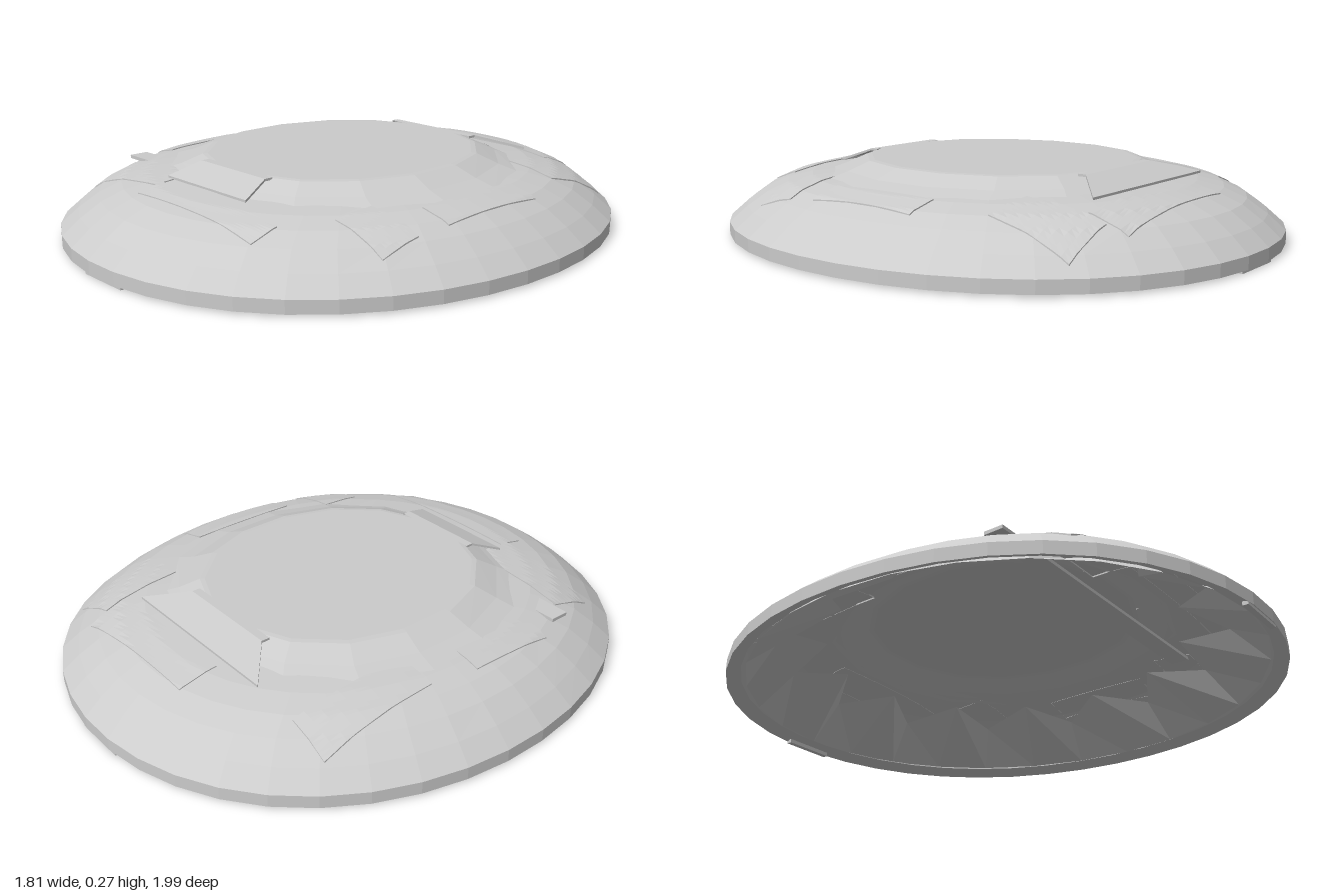
import * as THREE from 'three';

// dome profile from rim to crown: [x radius, z radius, height]
const DOME = [
  [0.907, 1.0, 0.008], [0.907, 1.0, 0.052], [0.845, 0.94, 0.106], [0.775, 0.87, 0.156],
  [0.71, 0.79, 0.189], [0.63, 0.70, 0.209], [0.55, 0.60, 0.219],
];
const material = new THREE.MeshStandardMaterial({
  color: 0xcccccc, flatShading: true, side: THREE.DoubleSide,
});

// the outline is slightly fuller than an ellipse on the diagonals
const fullness = (a) => 1 + 0.015 * Math.sin(2 * a) ** 2;

// mesh over a grid of points given by at(row, column)
function gridMesh(name, rows, cols, at) {
  const pos = [], index = [];
  for (let i = 0; i <= rows; i++)
    for (let j = 0; j <= cols; j++) pos.push(...at(i, j));
  for (let i = 0; i < rows; i++)
    for (let j = 0; j < cols; j++) {
      const a = i * (cols + 1) + j, b = a + cols + 1;
      index.push(a, b, a + 1, b, b + 1, a + 1);
    }
  const geo = new THREE.BufferGeometry();
  geo.setAttribute('position', new THREE.Float32BufferAttribute(pos, 3));
  geo.setIndex(index);
  geo.computeVertexNormals();
  const mesh = new THREE.Mesh(geo, material);
  mesh.name = name;
  return mesh;
}

// stacked rounded rings
function rings(name, profile, sides) {
  return gridMesh(name, profile.length - 1, sides, (i, j) => {
    const a = ((j + 0.5) / sides) * Math.PI * 2, [rx, rz, y] = profile[i];
    return [Math.cos(a) * rx * fullness(a), y, Math.sin(a) * rz * fullness(a)];
  });
}

// height of the dome above a ground point
function domeHeight(x, z) {
  const f = fullness(Math.atan2(z, x * 1.1));
  for (let i = DOME.length - 1; i > 1; i--) {
    const [ax, az, ay] = DOME[i], [bx, bz, by] = DOME[i - 1];
    const ra = Math.hypot(x / ax, z / az) / f, rb = Math.hypot(x / bx, z / bz) / f;
    if (ra <= 1) return ay;
    if (rb <= 1) return THREE.MathUtils.lerp(ay, by, (ra - 1) / (ra - rb));
  }
  return DOME[1][2];
}

// thin rectangular plate lying on the dome, with its border turned down
function plate(x0, x1, z0, z1) {
  const n = 10;
  return gridMesh('hullPlate', n + 2, n + 2, (i, j) => {
    const u = THREE.MathUtils.clamp(i - 1, 0, n) / n;
    const v = THREE.MathUtils.clamp(j - 1, 0, n) / n;
    const border = i === 0 || j === 0 || i === n + 2 || j === n + 2;
    const x = THREE.MathUtils.lerp(x0, x1, v), z = THREE.MathUtils.lerp(z0, z1, u);
    return [x, domeHeight(x, z) + (border ? -0.001 : 0.004), z];
  });
}

// sloping block against the plateau: low outer edge, high inner edge
function ramp(name, halfIn, halfOut, rIn, rOut, angle) {
  const rows = [[halfOut, rOut, 0.218], [halfOut, rOut, 0.226], [halfIn, rIn, 0.267], [halfIn, rIn - 0.03, 0.267]];
  const mesh = gridMesh(name, 3, 3, (i, j) => {
    const [half, r, y] = rows[i];
    return [(j < 2 ? 1 : -1) * half, j === 0 || j === 3 ? y - 0.008 : y, r];
  });
  mesh.rotation.y = angle;
  return mesh;
}

export function createModel() {
  const group = new THREE.Group();

  // outer shell and raised flat top
  group.add(rings('domeShell', DOME, 40));
  group.add(rings('plateau', [
    [0.62, 0.62, 0.211], [0.54, 0.57, 0.232], [0.46, 0.5, 0.264], [0.44, 0.485, 0.266], [0, 0, 0.266],
  ], 16));

  // ramps at the front and back of the plateau
  group.add(ramp('frontRamp', 0.17, 0.21, 0.49, 0.6, 0));
  group.add(ramp('backRamp', 0.2, 0.34, 0.49, 0.61, Math.PI));

  // overlapping hull plates
  const plates = [
    [-0.16, 0.41, -0.78, -0.64], [0.42, 0.61, -0.71, -0.42], [-0.65, -0.5, -0.6, -0.17],
    [0.6, 0.71, -0.2, 0.22], [-0.68, -0.58, 0.0, 0.33], [-0.57, -0.18, 0.5, 0.67],
    [-0.18, 0.41, 0.64, 0.74], [0.5, 0.7, 0.34, 0.49],
  ];
  for (const p of plates) group.add(plate(...p));

  // rim underside, sloping up and inward
  group.add(rings('rimUnderside', [[0.86, 0.95, 0.03], [0.907, 1.0, 0.008]], 40));

  // pleated facets on the underside, from rim to ceiling
  const pleats = 28;
  group.add(gridMesh('innerFacets', 1, pleats, (i, j) => {
    const a = (j / pleats) * Math.PI * 2;
    const r = i === 0 ? 0.95 : j % 2 ? 0.82 : 0.66;
    const y = i === 0 ? 0.03 : j % 2 ? 0.16 : 0.195;
    return [Math.cos(a) * r * 0.905, y, Math.sin(a) * r];
  }));

  // long rib across the underside, below the front edge of the plateau
  const rib = new THREE.Mesh(new THREE.BoxGeometry(1.16, 0.012, 0.07), material);
  rib.name = 'innerRib';
  rib.position.set(-0.06, 0.195, 0.44);
  group.add(rib);

  // low feet of the rim at front and back
  for (const s of [1, -1]) {
    const foot = new THREE.Mesh(new THREE.BoxGeometry(0.2, 0.014, 0.02), material);
    foot.name = 'rimFoot';
    foot.position.set(0, 0.007, s * 0.982);
    group.add(foot);
  }
  return group;
}
